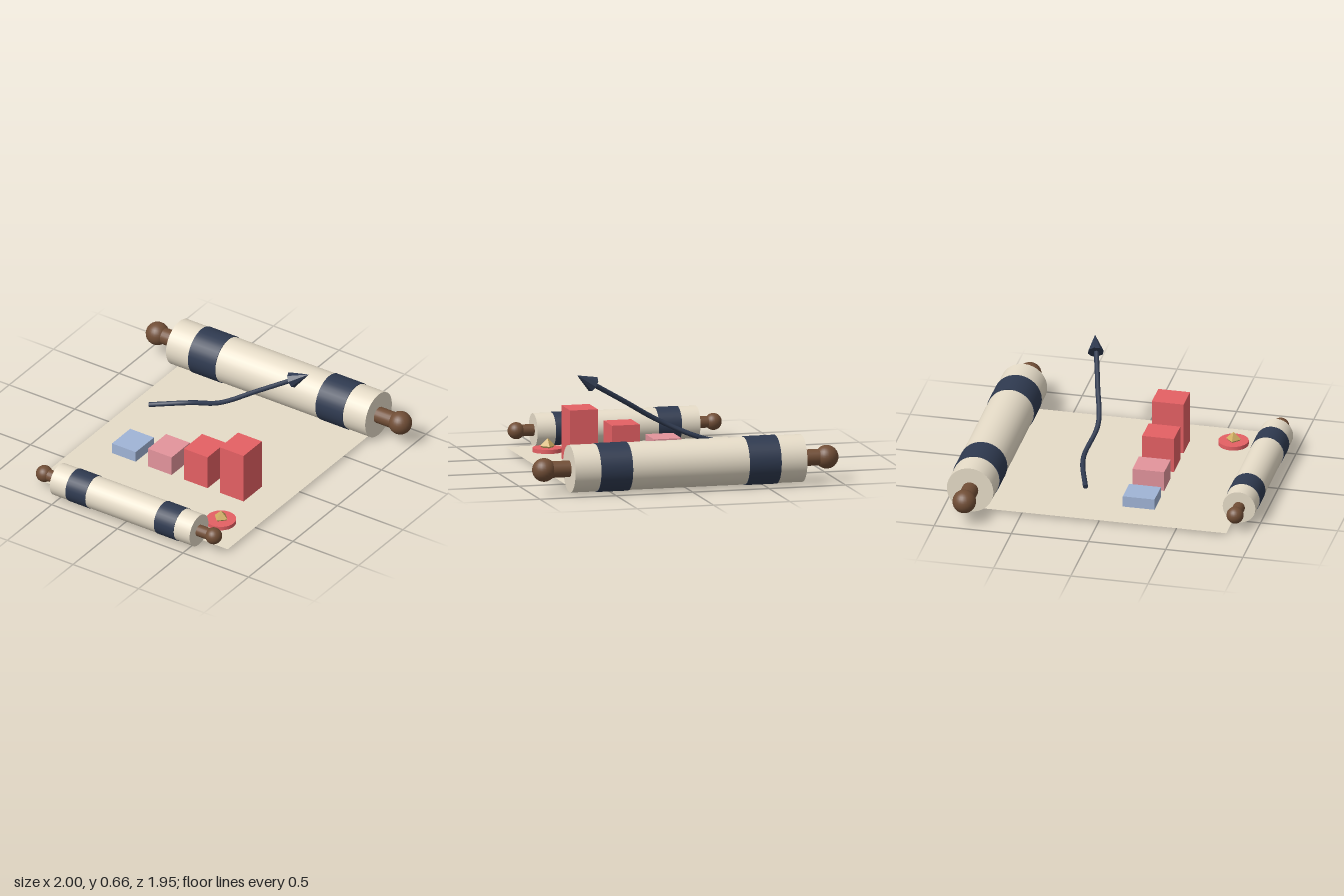
import * as THREE from 'three';

const mat = (name, color, extra = {}) => {
  const m = new THREE.MeshStandardMaterial({ color, ...extra });
  m.name = name;
  return m;
};

export function createModel() {
  const parchment = mat('parchment', 0xe6dcc8);
  const sheetParchment = mat('parchment sheet', 0xe6dcc8, { side: THREE.DoubleSide });
  const navy = mat('navy', 0x2f3a50);
  const navyFlat = mat('navy facets', 0x2f3a50, { flatShading: true });
  const wood = mat('wood', 0x714e36);
  const gold = mat('gold', 0xd0ae62, { flatShading: true });
  const red = mat('red', 0xe56064);
  const pink = mat('pink', 0xe3949c);
  const blue = mat('blue', 0xa0b4d6);

  const model = new THREE.Group();
  model.name = 'scrollChart';

  const add = (parent, name, geometry, material, x = 0, y = 0, z = 0) => {
    const mesh = new THREE.Mesh(geometry, material);
    mesh.name = name;
    mesh.position.set(x, y, z);
    parent.add(mesh);
    return mesh;
  };
  // Cylinder lying along x
  const bar = (r, length, sides = 32) =>
    new THREE.CylinderGeometry(r, r, length, sides).rotateZ(Math.PI / 2);

  // Rolled end: parchment roll, two bands, a rod with round knobs
  const addRoll = (name, o) => {
    const roll = new THREE.Group();
    roll.name = name;
    roll.position.set(0, o.y, o.z);
    add(roll, 'roll', bar(o.r, o.length), parchment);
    add(roll, 'rod', bar(o.rodR, o.knobX * 2, 20), wood);
    for (const side of [-1, 1]) {
      add(roll, 'band', bar(o.bandR, o.bandW), navy, side * o.bandX);
      add(roll, 'knob', new THREE.SphereGeometry(o.knobR, 24, 16), wood, side * o.knobX);
    }
    model.add(roll);
  };
  addRoll('backRoll', {
    y: 0.157, z: -0.822, r: 0.151, length: 1.518, bandR: 0.155, bandW: 0.207,
    bandX: 0.486, rodR: 0.053, knobX: 0.925, knobR: 0.075,
  });
  addRoll('frontRoll', {
    y: 0.113, z: 0.868, r: 0.106, length: 1.066, bandR: 0.109, bandW: 0.15,
    bandX: 0.337, rodR: 0.038, knobX: 0.645, knobR: 0.054,
  });

  // Open sheet
  add(model, 'sheet', new THREE.PlaneGeometry(1.45, 1.65).rotateX(-Math.PI / 2),
    sheetParchment, 0, 0.019, 0.004);

  // Rising chart bars
  [[0.072, blue], [0.132, pink], [0.232, red], [0.342, red]].forEach(([h, m], i) => {
    add(model, 'chartBar', new THREE.BoxGeometry(0.181, h, 0.206), m,
      -0.414 + i * 0.274, 0.02 + h / 2, 0.211);
  });

  // Trend arrow
  const path = new THREE.CatmullRomCurve3([
    [-0.52, 0.14, -0.13], [-0.26, 0.21, -0.203], [0, 0.325, -0.167],
    [0.24, 0.468, -0.225], [0.47, 0.603, -0.287],
  ].map((p) => new THREE.Vector3(...p)));
  add(model, 'arrowShaft', new THREE.TubeGeometry(path, 40, 0.016, 8), navy);
  const start = add(model, 'arrowTail', new THREE.CircleGeometry(0.016, 8), navy,
    ...path.getPoint(0).toArray());
  start.quaternion.setFromUnitVectors(new THREE.Vector3(0, 0, 1),
    path.getTangent(0).negate());

  const base = new THREE.Vector3(0.458, 0.597, -0.288);
  const tip = new THREE.Vector3(0.57, 0.662, -0.318);
  const head = add(model, 'arrowHead',
    new THREE.ConeGeometry(0.052, base.distanceTo(tip), 8), navyFlat);
  head.position.copy(base).lerp(tip, 0.5);
  head.quaternion.setFromUnitVectors(new THREE.Vector3(0, 1, 0),
    tip.clone().sub(base).normalize());

  // Wax seal with a gem
  add(model, 'seal', new THREE.CylinderGeometry(0.096, 0.096, 0.026, 28), red,
    0.515, 0.033, 0.592);
  add(model, 'gem', new THREE.OctahedronGeometry(0.049), gold, 0.515, 0.057, 0.592);

  return model;
}
